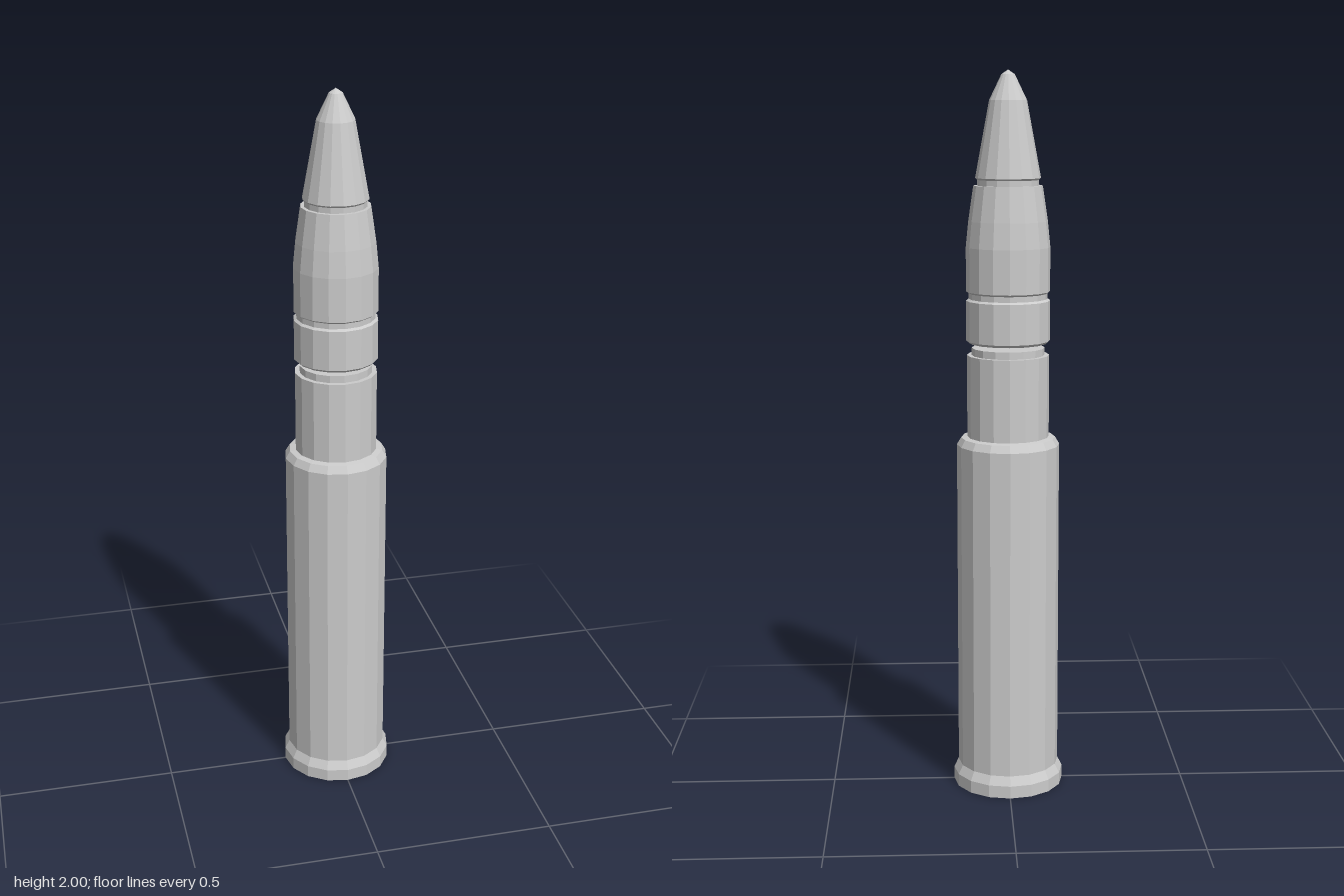
import * as THREE from 'three';

const material = new THREE.MeshStandardMaterial({ color: 0xcccccc, flatShading: true });

// Faceted turned part from [radius, height] pairs, listed bottom to top
function turned(name, sides, profile) {
  const points = profile.map(([r, y]) => new THREE.Vector2(r, y));
  const mesh = new THREE.Mesh(new THREE.LatheGeometry(points, sides), material);
  mesh.name = name;
  return mesh;
}

export function createModel() {
  const group = new THREE.Group();
  group.name = 'cartridge';

  // Flanged base rim
  group.add(turned('rim', 16, [
    [0, 0], [0.155, 0], [0.155, 0.035], [0.142, 0.06],
  ]));

  // Straight case, shoulder, neck and stepped mouth
  group.add(turned('case', 16, [
    [0.142, 0.06], [0.142, 0.985], [0.13, 1.005], [0.113, 1.008],
    [0.113, 1.235], [0.1, 1.235], [0.1, 1.255], [0, 1.255],
  ]));

  // Projectile body, separated from the mouth by a narrow gap
  group.add(turned('projectileBody', 16, [
    [0, 1.268], [0.107, 1.268], [0.115, 1.275], [0.115, 1.385],
    [0.108, 1.39], [0.108, 1.405], [0.115, 1.41], [0.115, 1.53],
    [0.108, 1.6], [0.094, 1.695], [0.084, 1.695], [0.084, 1.71],
  ]));

  // Pointed nose with a blunted end
  group.add(turned('nose', 16, [
    [0.084, 1.71], [0.089, 1.715], [0.051, 1.92], [0.018, 1.988], [0, 2],
  ]));

  return group;
}
